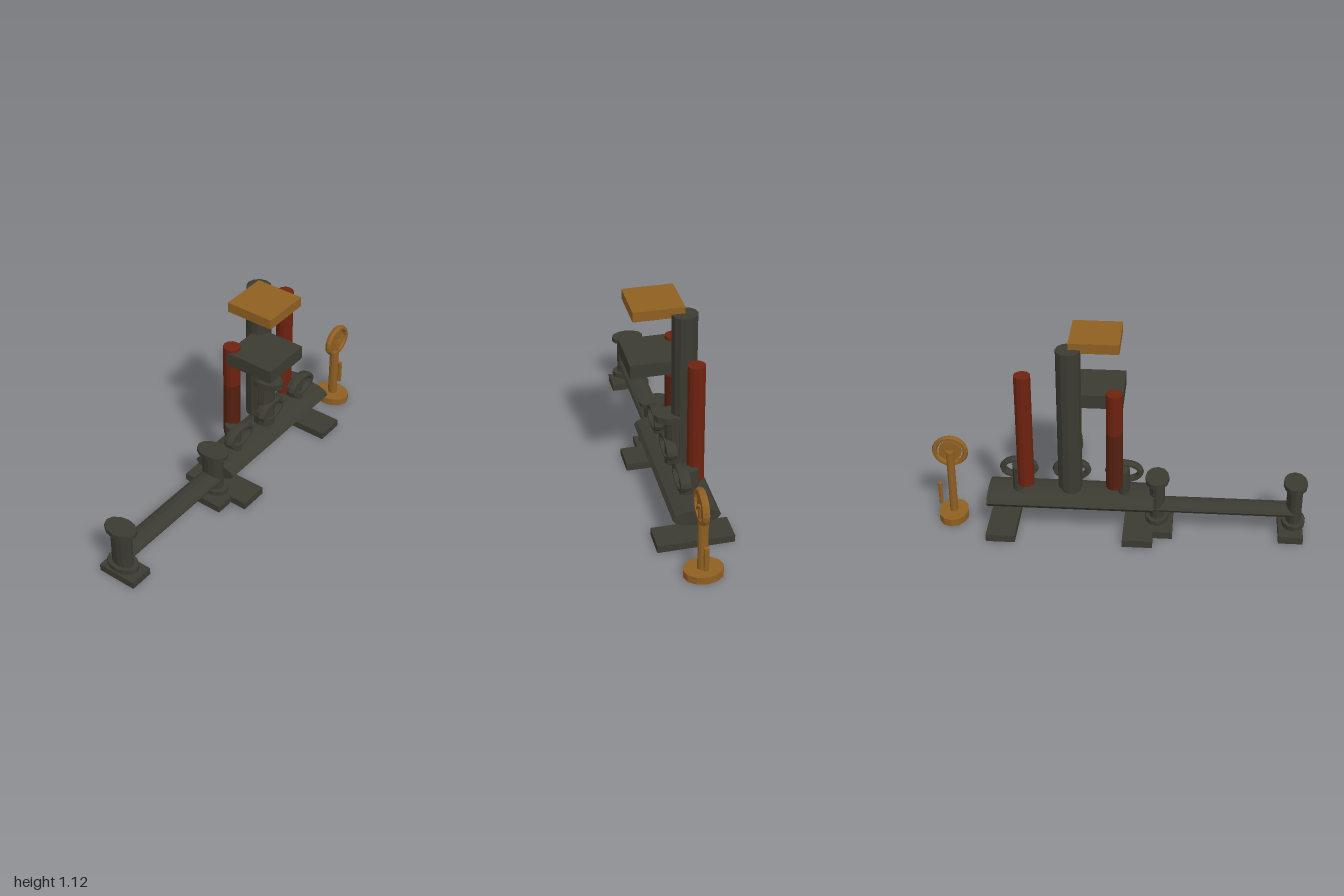
import * as THREE from 'three';

export function createModel() {
  const root = new THREE.Group();
  const mat = (name, color) => {
    const m = new THREE.MeshStandardMaterial({ color, flatShading: true });
    m.name = name;
    return m;
  };
  const iron = mat('dark iron', 0x3b3b32);
  const brass = mat('brass', 0x8f5f22);
  const red = mat('red pipe', 0x6e2210);
  const darkRed = mat('dark red pipe', 0x54200f);

  const add = (name, geo, material, parent = root) => {
    const m = new THREE.Mesh(geo, material);
    m.name = name;
    parent.add(m);
    return m;
  };
  // Box given by its limits on each axis
  const box = (name, m, x0, x1, y0, y1, z0, z1) => {
    const g = new THREE.BoxGeometry(x1 - x0, y1 - y0, z1 - z0);
    g.translate((x0 + x1) / 2, (y0 + y1) / 2, (z0 + z1) / 2);
    return add(name, g, m);
  };
  // Upright elliptical cylinder
  const upright = (name, m, x, z, y0, y1, rx, rz, sides = 12) => {
    const g = new THREE.CylinderGeometry(1, 1, y1 - y0, sides);
    g.scale(rx, 1, rz).translate(x, (y0 + y1) / 2, z);
    return add(name, g, m);
  };
  // Elliptical pipe lying along x
  const lying = (name, m, x0, x1, y, z, ry, rz, sides = 12) => {
    const g = new THREE.CylinderGeometry(1, 1, x1 - x0, sides);
    g.rotateZ(Math.PI / 2).scale(1, ry, rz).translate((x0 + x1) / 2, y, z);
    return add(name, g, m);
  };

  // Manifold and its two wide feet
  lying('manifold', iron, -0.195, 0.69, 0.186, -0.017, 0.045, 0.123);
  box('manifoldFoot', iron, -0.195, -0.035, 0, 0.04, -0.217, 0.183);
  box('manifoldFoot', iron, 0.535, 0.69, 0, 0.04, -0.217, 0.183);

  // Flanged posts joined by a feed pipe
  for (const x of [-0.938, -0.21]) {
    upright('postStem', iron, x, -0.016, 0.075, 0.31, 0.042, 0.062);
    upright('postCap', iron, x, -0.016, 0.297, 0.322, 0.063, 0.091);
    upright('postFlange', iron, x, -0.016, 0.065, 0.091, 0.063, 0.091);
  }
  box('postPad', iron, -0.99, -0.86, 0, 0.04, -0.128, 0.09);
  box('postPad', iron, -0.297, -0.167, 0, 0.04, -0.128, 0.09);
  lying('feedPipe', iron, -0.94, -0.19, 0.148, -0.017, 0.031, 0.062);

  // Valves with oval handwheels
  for (const x of [-0.033, 0.247, 0.53]) {
    upright('valveStem', iron, x, -0.016, 0.2, 0.366, 0.031, 0.05);
    const wheel = new THREE.TorusGeometry(0.087, 0.018, 6, 16);
    wheel.scale(1, 0.58, 1.7).translate(x, 0.325, 0.022);
    add('handwheel', wheel, iron);
  }

  // Tall column, with a collared stem in front
  upright('column', iron, 0.247, -0.06, 0.28, 1.085, 0.064, 0.067);
  upright('columnStem', iron, 0.247, -0.016, 0.2, 0.5, 0.054, 0.058);
  upright('columnCollar', iron, 0.247, -0.016, 0.49, 0.526, 0.065, 0.114);
  box('lowerShelf', iron, -0.03, 0.247, 0.751, 0.825, -0.06, 0.217);
  box('upperShelf', brass, -0.012, 0.247, 1.066, 1.119, -0.063, 0.2);

  // Red pipes
  upright('shortPipeLower', darkRed, 0.014, -0.06, 0.28, 0.61, 0.044, 0.045);
  upright('shortPipeUpper', red, 0.014, -0.06, 0.61, 0.84, 0.044, 0.045);
  upright('tallPipe', red, 0.483, -0.06, 0.28, 0.93, 0.044, 0.045);

  // Standing gauge
  upright('gaugeBase', brass, 0.897, 0.003, 0, 0.042, 0.08, 0.103);
  upright('gaugePost', brass, 0.897, 0.008, 0.04, 0.417, 0.022, 0.027);
  upright('gaugeRod', brass, 0.964, 0.008, 0.08, 0.21, 0.011, 0.014, 8);
  const rim = new THREE.TorusGeometry(0.083, 0.015, 6, 20);
  rim.scale(1, 0.93, 1.3).translate(0.897, 0.411, 0.018);
  add('gaugeRim', rim, brass);
  const dial = new THREE.CylinderGeometry(0.062, 0.062, 0.014, 16);
  dial.rotateX(Math.PI / 2).scale(1, 0.93, 1).translate(0.897, 0.411, 0.018);
  add('gaugeDial', dial, brass);
  const needle = add('gaugeNeedle', new THREE.BoxGeometry(0.06, 0.01, 0.009), brass);
  needle.position.set(0.907, 0.418, 0.039);
  needle.rotation.z = 0.85;

  return root;
}
